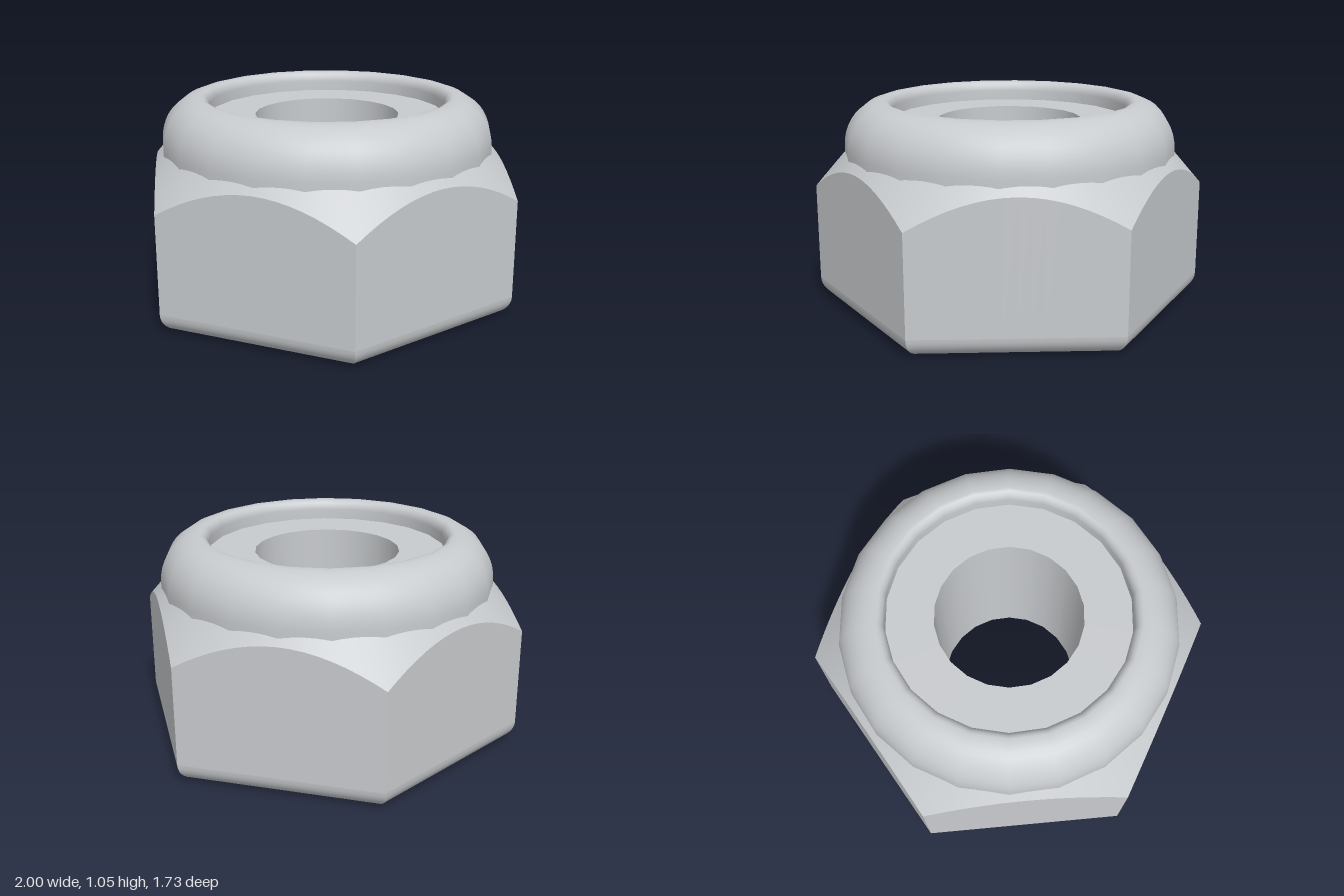
import * as THREE from 'three';
import { mergeVertices, toCreasedNormals } from 'three/addons/utils/BufferGeometryUtils.js';

const APOTHEM = Math.sqrt(3) / 2;
const FILLET = 0.1;
const HOLE = 0.365;
const SEGMENTS = 22;

// Point on the hexagon outline: side 0..5, t 0..1 along it, scaled by k
function hexPoint(side, t, k = 1) {
  const a = (side * Math.PI) / 3, b = ((side + 1) * Math.PI) / 3;
  return [
    k * THREE.MathUtils.lerp(Math.cos(a), Math.cos(b), t),
    k * THREE.MathUtils.lerp(Math.sin(a), Math.sin(b), t),
  ];
}

// Height of the conical chamfer at a given radius
const coneY = (r) => 0.6 + (1 - r) * 1.157;

// Smooth surface through rows of points; rows run upwards, columns from +x to +z
function surface(rows, cols, point) {
  const pos = [], index = [], w = cols + 1;
  for (let i = 0; i <= rows; i++)
    for (let j = 0; j <= cols; j++) pos.push(...point(i, j));
  for (let i = 0; i < rows; i++)
    for (let j = 0; j < cols; j++) {
      const a = i * w + j;
      index.push(a, a + w, a + 1, a + 1, a + w, a + w + 1);
    }
  let g = new THREE.BufferGeometry();
  g.setAttribute('position', new THREE.Float32BufferAttribute(pos, 3));
  g.setIndex(index);
  g = mergeVertices(g, 1e-5);
  g.computeVertexNormals();
  return g;
}

export function createModel() {
  const group = new THREE.Group();
  const steel = new THREE.MeshStandardMaterial({ color: 0xc8cbce });
  steel.name = 'steel';
  steel.side = THREE.DoubleSide;
  const add = (name, geometry) => {
    const mesh = new THREE.Mesh(geometry, steel);
    mesh.name = name;
    group.add(mesh);
    return mesh;
  };

  // Six flats, each with a rounded lower edge and an arched upper edge
  const COLS = 16, ROUND = 8;
  for (let s = 0; s < 6; s++) {
    add('flat' + (s + 1), surface(1, COLS, (i, j) => {
      const [x, z] = hexPoint(s, j / COLS);
      return [x, i ? coneY(Math.hypot(x, z)) : FILLET, z];
    }));
    add('lowerEdge' + (s + 1), surface(ROUND, COLS, (i, j) => {
      const a = (i / ROUND) * Math.PI / 2;
      const k = (APOTHEM - FILLET + FILLET * Math.sin(a)) / APOTHEM;
      const [x, z] = hexPoint(s, j / COLS, k);
      return [x, FILLET * (1 - Math.cos(a)), z];
    }));
  }

  // Conical chamfer from the arched edges up under the collar
  add('chamfer', surface(3, COLS * 6, (i, j) => {
    const [x, z] = hexPoint(Math.floor(j / COLS), (j % COLS) / COLS);
    const r0 = Math.hypot(x, z);
    const r = THREE.MathUtils.lerp(r0, 0.82, i / 3);
    return [(x / r0) * r, coneY(r), (z / r0) * r];
  }));

  // Underside with the bore cut out
  const under = new THREE.Shape();
  const k = (APOTHEM - FILLET) / APOTHEM;
  for (let s = 0; s < 6; s++) {
    const [x, z] = hexPoint(s, 0, k);
    s ? under.lineTo(x, z) : under.moveTo(x, z);
  }
  under.closePath();
  const bore = new THREE.Path();
  for (let i = 0; i < SEGMENTS; i++) {
    const a = (i / SEGMENTS) * Math.PI * 2;
    const p = [HOLE * Math.sin(a), HOLE * Math.cos(a)];
    i ? bore.lineTo(...p) : bore.moveTo(...p);
  }
  bore.closePath();
  under.holes.push(bore);
  add('underside', new THREE.ShapeGeometry(under).rotateX(Math.PI / 2));

  // Rounded collar with a lip that curls in to the insert
  const profile = [new THREE.Vector2(0.84, 0.77)];
  for (let i = 0; i <= 10; i++) {
    const a = (i / 10) * Math.PI / 2;
    profile.push(new THREE.Vector2(0.64 + 0.2 * Math.cos(a), 0.82 + 0.23 * Math.sin(a)));
  }
  for (let i = 1; i <= 4; i++) {
    const a = (i / 4) * Math.PI / 2;
    profile.push(new THREE.Vector2(0.64 - 0.04 * Math.sin(a), 1.0 + 0.05 * Math.cos(a)));
  }
  profile.push(new THREE.Vector2(0.6, 0.945));
  add('collar', new THREE.LatheGeometry(profile, SEGMENTS));

  // Flat insert ring and the bore wall
  const ring = [[0.605, 0.948], [HOLE, 0.948]].map((p) => new THREE.Vector2(...p));
  add('insert', toCreasedNormals(new THREE.LatheGeometry(ring, SEGMENTS), 0.5));
  const wall = [[HOLE, 0.948], [HOLE, 0]].map((p) => new THREE.Vector2(...p));
  // Profiles run from outside to inside, so the bore wall faces the axis
  add('bore', new THREE.LatheGeometry(wall, SEGMENTS));

  return group;
}
